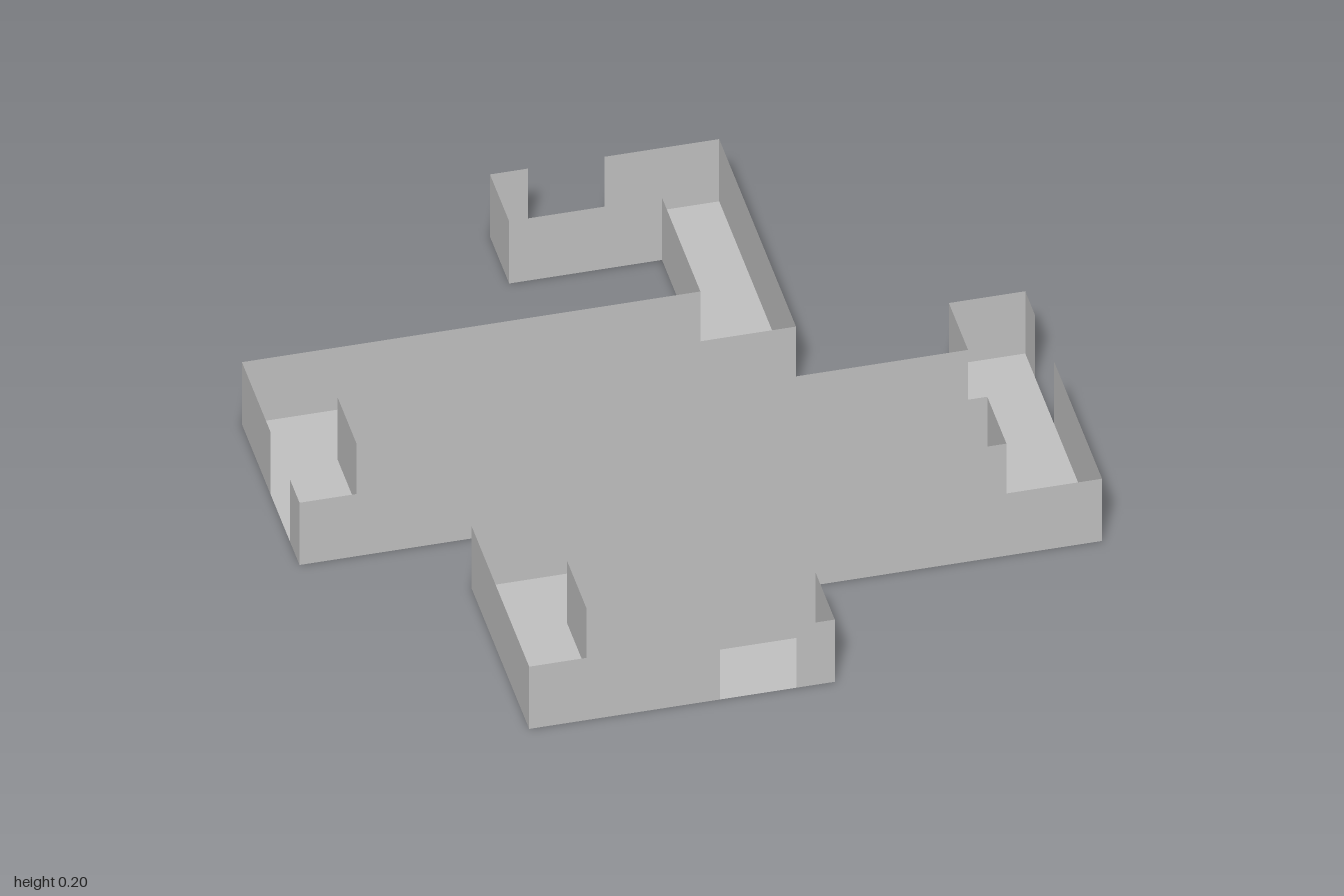
import * as THREE from 'three';

const HEIGHT = 0.2;
const DOOR = 0.1; // half width of each doorway

// Plan of the winding corridor as [x, z] corners
const PLAN = [
  [-0.2, -1], [0.4, -1], [0.4, -0.2], [-0.8, -0.2], [-0.8, 0], [0.8, 0],
  [0.8, -0.2], [1, -0.2], [1, 0.6], [-0.4, 0.6], [-0.4, 0.8], [0.2, 0.8],
  [0.2, 1], [-0.6, 1], [-0.6, 0.4], [0.8, 0.4], [0.8, 0.2], [-1, 0.2],
  [-1, -0.4], [0.2, -0.4], [0.2, -0.8], [-0.2, -0.8],
];

export function createModel() {
  const group = new THREE.Group();
  const grey = new THREE.MeshStandardMaterial({ color: 0xc0c0c0, side: THREE.DoubleSide });
  grey.name = 'light grey';

  // Floor
  const shape = new THREE.Shape(PLAN.map(([x, z]) => new THREE.Vector2(x, -z)));
  const floor = new THREE.Mesh(new THREE.ShapeGeometry(shape).rotateX(-Math.PI / 2), grey);
  floor.name = 'floor';
  group.add(floor);

  // One thin upright wall panel from a to b, facing outwards
  const walls = new THREE.Group();
  walls.name = 'walls';
  group.add(walls);
  const addWall = (a, b) => {
    const dx = a[0] - b[0], dz = a[1] - b[1];
    const wall = new THREE.Mesh(new THREE.PlaneGeometry(Math.hypot(dx, dz), HEIGHT), grey);
    wall.rotation.y = Math.atan2(-dz, dx);
    wall.position.set((a[0] + b[0]) / 2, HEIGHT / 2, (a[1] + b[1]) / 2);
    wall.name = 'wall';
    walls.add(wall);
  };

  PLAN.forEach((a, i) => {
    const b = PLAN[(i + 1) % PLAN.length];
    // Walls on the four outermost sides have a doorway at their middle axis
    const fixed = [0, 1].find((k) => a[k] === b[k] && Math.abs(a[k]) === 1);
    if (fixed === undefined) {
      addWall(a, b);
      return;
    }
    const run = 1 - fixed;
    const sign = Math.sign(b[run] - a[run]);
    const jamb = (s) => (fixed === 0 ? [a[0], s * DOOR] : [s * DOOR, a[1]]);
    addWall(a, jamb(-sign));
    addWall(jamb(sign), b);
  });

  return group;
}
